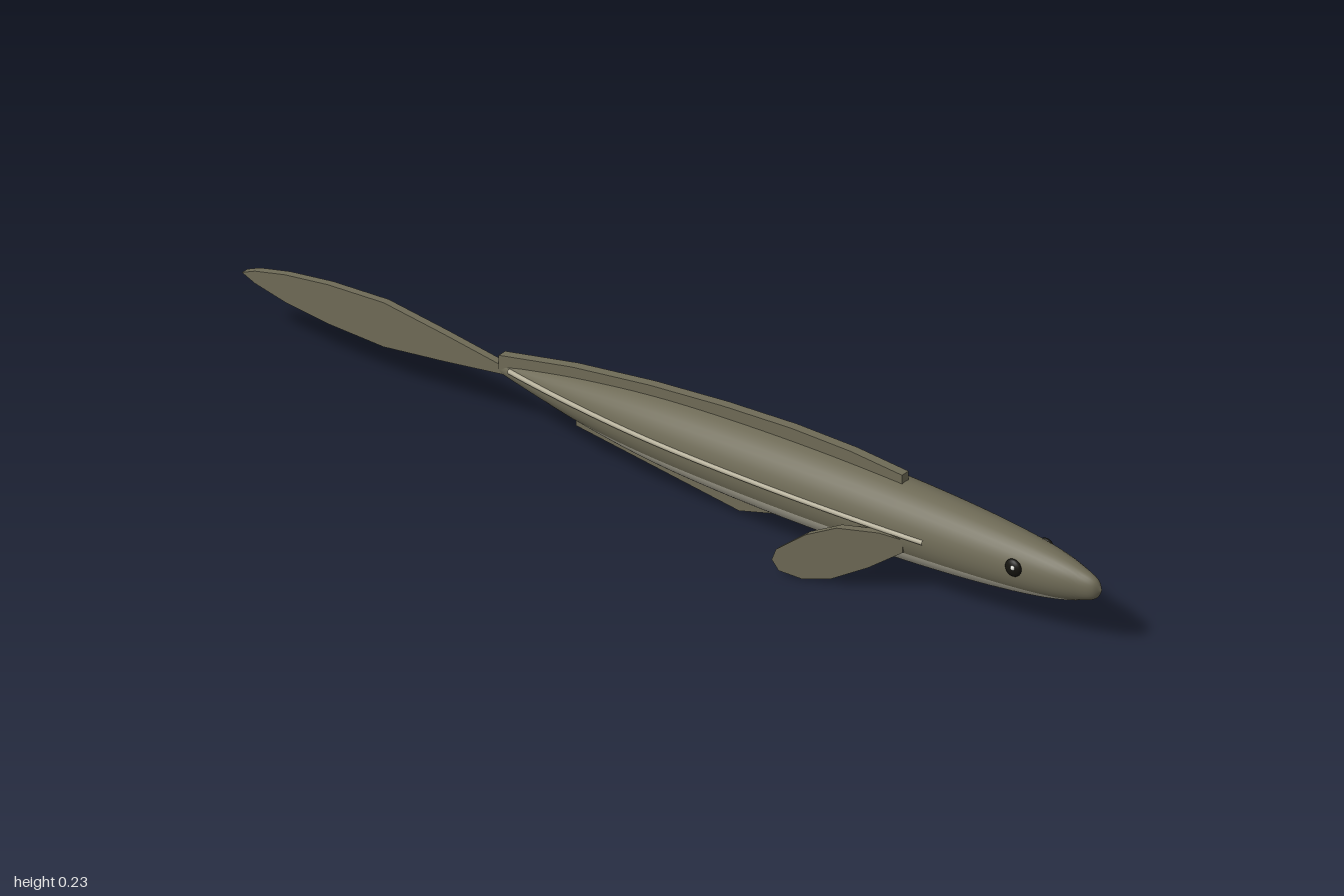
import * as THREE from 'three';

const material = (name, color) => new THREE.MeshStandardMaterial({ name, color });

export function createModel() {
  const fish = new THREE.Group();
  const olive = material('olive skin', 0x6e6a56);
  const pale = material('pale belly', 0xb4b09e);
  const cream = material('cream line', 0xb4ae98);
  const black = material('eye black', 0x15140f);
  const white = material('eye glint', 0xf0f0ea);

  const add = (name, geometry, mat) => {
    const mesh = new THREE.Mesh(geometry, mat);
    mesh.name = name;
    fish.add(mesh);
    return mesh;
  };

  // Body stations: half width, half height, z
  const midY = 0.124;
  const stations = [
    [0.001, 0.001, 0.998], [0.013, 0.02, 0.985], [0.025, 0.034, 0.95], [0.038, 0.047, 0.9],
    [0.053, 0.061, 0.8], [0.068, 0.075, 0.6], [0.075, 0.081, 0.3], [0.066, 0.07, 0],
    [0.044, 0.047, -0.2], [0.019, 0.021, -0.35], [0.004, 0.008, -0.42],
  ].map((s) => new THREE.Vector3(...s));
  const rings = new THREE.CatmullRomCurve3(stations).getPoints(70);
  const sides = 24;

  // Skin between two angles, which may vary along the body
  function skin(startAngle, endAngle) {
    const positions = [], normals = [], index = [];
    rings.forEach((r, i) => {
      const a = rings[Math.max(i - 1, 0)], b = rings[Math.min(i + 1, rings.length - 1)];
      const slope = (b.y - a.y) / (a.z - b.z);
      const from = startAngle(r), to = endAngle(r);
      for (let j = 0; j <= sides; j++) {
        const t = from + (to - from) * j / sides;
        positions.push(r.x * Math.cos(t), midY + r.y * Math.sin(t), r.z);
        const n = new THREE.Vector3(Math.cos(t) / r.x, Math.sin(t) / r.y, 0).normalize();
        n.z = slope;
        normals.push(...n.normalize().toArray());
        if (i < rings.length - 1 && j < sides) {
          const p = i * (sides + 1) + j, q = p + sides + 1;
          index.push(p, q, p + 1, p + 1, q, q + 1);
        }
      }
    });
    const g = new THREE.BufferGeometry();
    g.setAttribute('position', new THREE.Float32BufferAttribute(positions, 3));
    g.setAttribute('normal', new THREE.Float32BufferAttribute(normals, 3));
    g.setIndex(index);
    return g;
  }

  // The belly meets the back at a constant height
  const drop = (r) => Math.asin(Math.min(1, 0.032 / r.y));
  add('back', skin((r) => -drop(r), (r) => Math.PI + drop(r)), olive);
  add('belly', skin((r) => Math.PI + drop(r), (r) => 2 * Math.PI - drop(r)), pale);

  // Flat fin drawn as [z, y] points
  function fin(points, thickness) {
    const shape = new THREE.Shape(points.map((p) => new THREE.Vector2(...p)));
    return new THREE.ExtrudeGeometry(shape, { depth: thickness, bevelEnabled: false })
      .translate(0, 0, -thickness / 2)
      .rotateY(-Math.PI / 2);
  }

  add('dorsalFin', fin([
    [0.54, 0.19], [0.54, 0.219], [0.42, 0.229], [0.28, 0.231], [0.12, 0.224], [-0.05, 0.21],
    [-0.23, 0.187], [-0.4, 0.154], [-0.4, 0.125], [-0.2, 0.15], [0, 0.17], [0.3, 0.19],
  ], 0.02), olive);
  add('analFin', fin([
    [0.27, 0.055], [0.27, 0.043], [0.16, 0.014], [-0.03, 0.04], [-0.22, 0.066],
    [-0.22, 0.1], [0, 0.075],
  ], 0.02), olive);
  add('tailFin', fin([
    [-0.36, 0.128], [-0.4, 0.134], [-0.53, 0.154], [-0.67, 0.173], [-0.8, 0.167], [-0.9, 0.154],
    [-0.97, 0.138], [-1, 0.125], [-0.97, 0.112], [-0.9, 0.096], [-0.8, 0.084], [-0.67, 0.079],
    [-0.53, 0.096], [-0.4, 0.114], [-0.36, 0.119],
  ], 0.016), olive);

  for (const [prefix, side] of [['left', 1], ['right', -1]]) {
    // Pectoral fin swept outward toward the rear
    const g = fin([
      [0.585, 0.122], [0.54, 0.128], [0.46, 0.122], [0.4, 0.095], [0.345, 0.053], [0.337, 0.03],
      [0.35, 0.009], [0.395, 0], [0.45, 0.012], [0.52, 0.05], [0.585, 0.095],
    ], 0.017);
    const p = g.attributes.position;
    for (let i = 0; i < p.count; i++) {
      p.setX(i, p.getX(i) + side * (0.067 + (0.56 - p.getZ(i)) * 0.3));
    }
    g.computeVertexNormals();
    add(prefix + 'PectoralFin', g, olive);

    // Lateral line along the flank
    const path = rings.filter((r) => r.z < 0.66 && r.z > -0.38)
      .map((r) => new THREE.Vector3(side * r.x * 0.99, 0.131, r.z));
    add(prefix + 'LateralLine',
      new THREE.TubeGeometry(new THREE.CatmullRomCurve3(path), 50, 0.005, 8), cream);

    // Flattened eye with a small glint
    const eye = add(prefix + 'Eye', new THREE.SphereGeometry(0.018, 20, 14), black);
    eye.position.set(side * 0.05, 0.139, 0.83);
    eye.scale.x = 0.5;
    const glint = add(prefix + 'EyeGlint', new THREE.SphereGeometry(0.005, 10, 8), white);
    glint.position.set(side * 0.057, 0.143, 0.834);
  }
  return fish;
}
